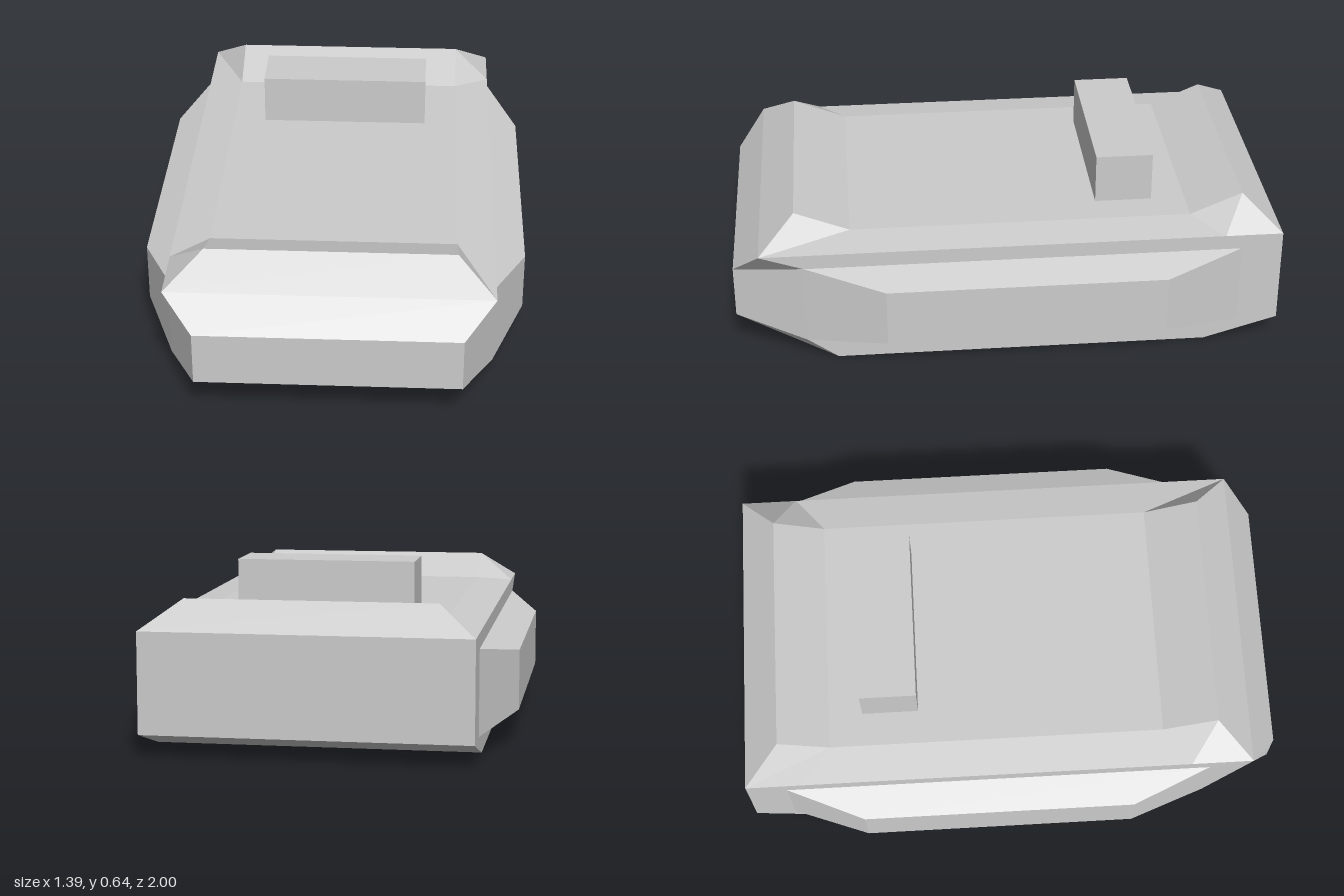
import * as THREE from 'three';

const material = new THREE.MeshStandardMaterial({ color: 0xcccccc, flatShading: true });

// Flat-shaded mesh from convex faces, each a loop of [x, y, z] corners
function facetedMesh(name, faces) {
  const positions = [];
  for (const f of faces) {
    for (let i = 1; i < f.length - 1; i++) positions.push(...f[0], ...f[i], ...f[i + 1]);
  }
  const geometry = new THREE.BufferGeometry();
  geometry.setAttribute('position', new THREE.Float32BufferAttribute(positions, 3));
  geometry.computeVertexNormals();
  const mesh = new THREE.Mesh(geometry, material);
  mesh.name = name;
  return mesh;
}

const flip = ([x, y, z]) => [-x, y, z];
const mirrorFaces = (faces) => faces.map((f) => f.map(flip).reverse());

export function createModel() {
  const group = new THREE.Group();
  group.name = 'hoverCraft';

  // Left edge of the hull outline: up the bow, along the deck, down the stern, under the keel
  const bowLow = [0.47, 0.135, 1], bowHigh = [0.47, 0.33, 1];
  const bowRim = [0.58, 0.44, 0.9], bowRidge = [0.445, 0.54, 0.77];
  const deckFront = [0.445, 0.46, 0.57], deckBack = [0.445, 0.46, -0.68];
  const sternRidge = [0.445, 0.54, -0.87], sternRim = [0.58, 0.44, -1];
  const sternLow = [0.58, 0.08, -1], keelBack = [0.58, 0, -0.73], keelFront = [0.58, 0, 0.63];
  const outline = [bowLow, bowHigh, bowRim, bowRidge, deckFront, deckBack,
    sternRidge, sternRim, sternLow, keelBack, keelFront];

  // Deck edge points and the rectangle where the side pod meets the hull
  const edgeFront = [0.58, 0.44, 0.67], edgeBack = [0.58, 0.44, -0.79];
  const A = [0.58, 0.385, 0.74], B = [0.58, 0.385, -0.85];
  const C = [0.58, 0.08, -0.85], D = [0.58, 0.08, 0.74];

  // Hull: centre strip spanning both sides, plus mirrored flanks
  const strip = outline.map((p, i) => {
    const q = outline[(i + 1) % outline.length];
    return [flip(p), p, q, flip(q)];
  });
  const flank = [
    [bowRim, edgeFront, deckFront, bowRidge],
    [edgeFront, edgeBack, deckBack, deckFront],
    [edgeBack, sternRim, sternRidge, deckBack],
    [bowLow, D, A, bowHigh],
    [bowHigh, A, bowRim],
    [A, B, sternRim, bowRim],
    [C, sternLow, sternRim, B],
    [keelFront, keelBack, C, D],
    [keelBack, sternLow, C],
    [bowLow, keelFront, D],
  ];
  group.add(facetedMesh('hull', [...strip, ...flank, ...mirrorFaces(flank)]));

  // Tapered side pods
  const a = [0.697, 0.34, 0.45], b = [0.697, 0.34, -0.565];
  const c = [0.697, 0.125, -0.565], d = [0.697, 0.125, 0.45];
  const pod = [
    [d, c, b, a],
    [a, b, B, A],
    [D, C, c, d],
    [D, d, a, A],
    [c, C, B, b],
  ];
  group.add(facetedMesh('leftPod', pod), facetedMesh('rightPod', mirrorFaces(pod)));

  // Raised block on the deck
  const block = new THREE.Mesh(new THREE.BoxGeometry(0.64, 0.195, 0.21), material);
  block.name = 'deckBlock';
  block.position.set(0, 0.5475, -0.45);
  group.add(block);

  return group;
}
